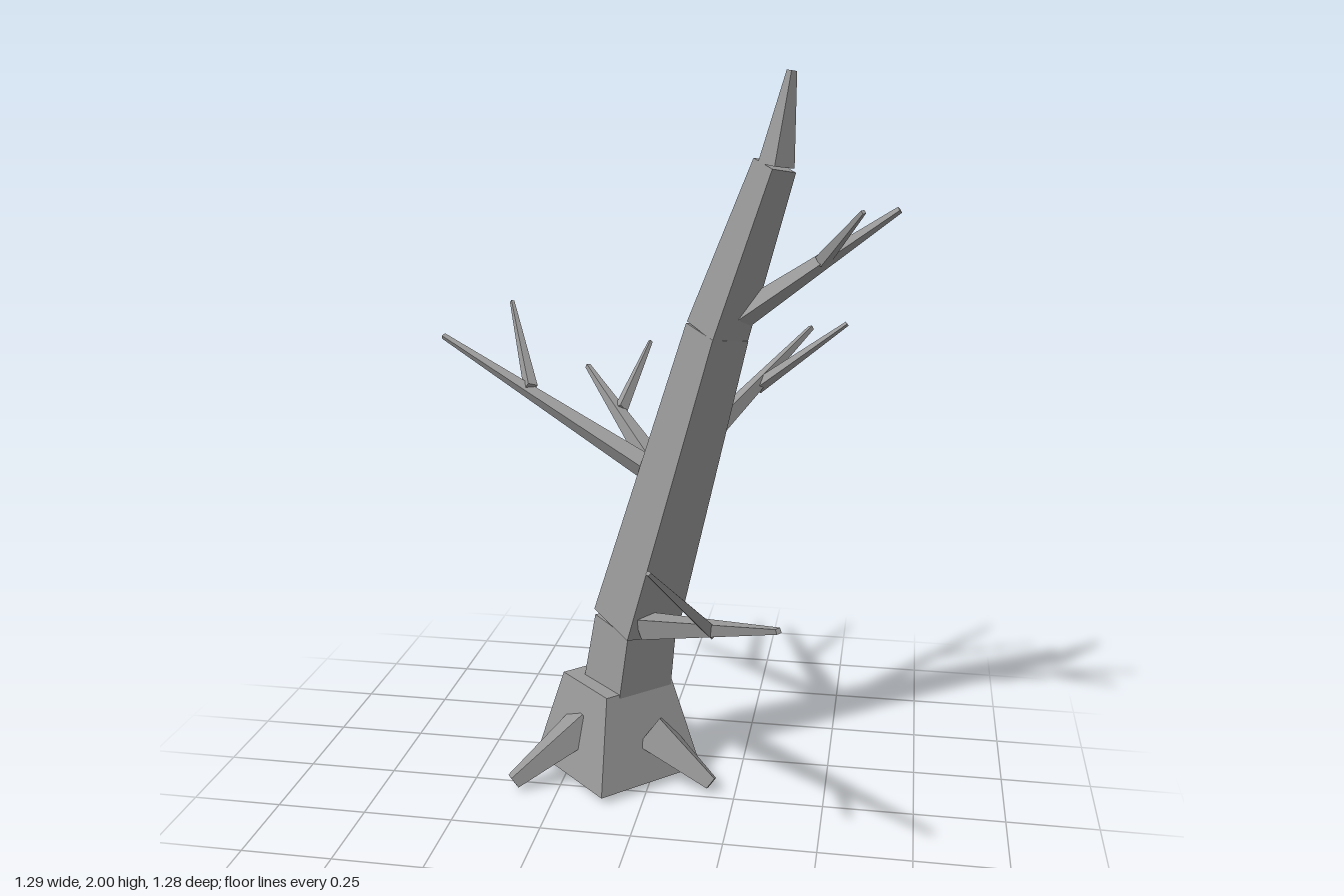
import * as THREE from 'three';

const UP = new THREE.Vector3(0, 1, 0);

export function createModel() {
  const tree = new THREE.Group();
  tree.name = 'deadTree';
  const bark = new THREE.MeshStandardMaterial({ color: 0x999999 });
  bark.name = 'greyBark';

  // Four-sided tapered limb from point a to point b
  function limb(name, a, b, r0, r1, parent = tree) {
    const start = new THREE.Vector3(...a);
    const end = new THREE.Vector3(...b);
    const axis = end.clone().sub(start);
    const geometry = new THREE.CylinderGeometry(r1, r0, axis.length(), 4).toNonIndexed();
    geometry.computeVertexNormals(); // faceted sides
    const mesh = new THREE.Mesh(geometry, bark);
    mesh.name = name;
    mesh.position.copy(start).add(end).multiplyScalar(0.5);
    mesh.quaternion.setFromUnitVectors(UP, axis.normalize());
    parent.add(mesh);
  }

  // Flared stump and leaning trunk
  limb('stump', [-0.11, 0.025, -0.147], [-0.11, 0.29, -0.147], 0.245, 0.16);
  limb('lowerTrunk', [-0.112, 0.022, -0.145], [-0.055, 0.465, -0.138], 0.138, 0.118);
  limb('middleTrunk', [-0.055, 0.465, -0.138], [0.177, 1.325, -0.077], 0.124, 0.086);
  limb('upperTrunk', [0.177, 1.325, -0.077], [0.323, 1.765, -0.037], 0.085, 0.057);
  limb('topSpike', [0.328, 1.765, -0.02], [0.361, 1.998, -0.03], 0.047, 0.013);

  // Roots
  limb('leftRoot', [0.0, 0.15, -0.09], [0.182, 0.03, -0.035], 0.07, 0.025);
  limb('rightRoot', [-0.19, 0.17, -0.08], [-0.376, 0.03, 0.05], 0.06, 0.025);
  limb('backRoot', [-0.12, 0.18, -0.2], [-0.152, 0.03, -0.465], 0.07, 0.025);

  // Branches, each with a twig: [name, start, end, radius, twig start, twig end]
  const branches = [
    ['frontBranch', [-0.005, 0.49, -0.05], [0.412, 0.765, 0.6], 0.042, [0.22, 0.63, 0.3], [0.115, 0.9, 0.637]],
    ['rightBranch', [0.0, 0.915, -0.13], [-0.643, 1.247, -0.288], 0.036, [-0.37, 1.12, -0.22], [-0.487, 1.32, -0.477]],
    ['backRightBranch', [0.0, 0.925, -0.15], [-0.277, 1.115, -0.56], 0.036, [-0.14, 1.03, -0.37], [-0.09, 1.19, -0.593]],
    ['backLeftBranch', [0.11, 0.98, -0.19], [0.39, 1.24, -0.636], 0.036, [0.25, 1.1, -0.42], [0.503, 1.29, -0.447]],
    ['leftBranch', [0.24, 1.37, -0.07], [0.64, 1.66, -0.032], 0.036, [0.45, 1.525, -0.045], [0.554, 1.668, 0.107]],
  ];
  for (const [name, start, end, radius, twigStart, twigEnd] of branches) {
    const group = new THREE.Group();
    group.name = name;
    limb(name + 'Limb', start, end, radius, 0.009, group);
    limb(name + 'Twig', twigStart, twigEnd, 0.021, 0.007, group);
    tree.add(group);
  }
  return tree;
}
